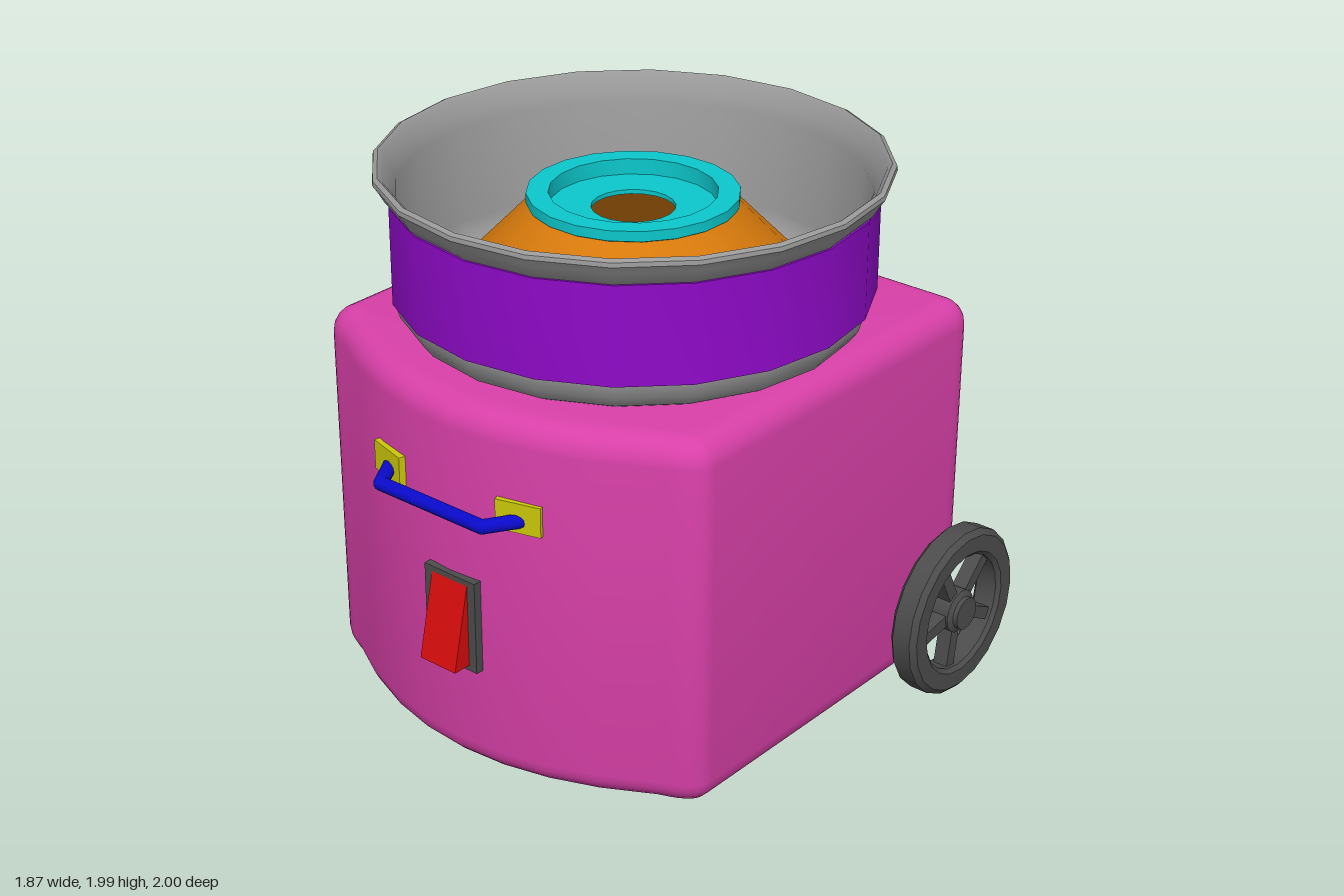
import * as THREE from 'three';
import { toCreasedNormals } from 'three/addons/utils/BufferGeometryUtils.js';

const CX = -0.015; // centre line of the body and bowl
const mat = (color, side = THREE.FrontSide) => new THREE.MeshStandardMaterial({ color, side });
const PINK = mat(0xd840a8), PURPLE = mat(0x8f0ac8), GREY = mat(0x999999), ORANGE = mat(0xd87a0c, THREE.DoubleSide);
const CYAN = mat(0x0cc8cc), DARK = mat(0x4c4c4c), BLUE = mat(0x0a0acc), YELLOW = mat(0xccc80a), RED = mat(0xd80c0c);

function add(parent, name, geometry, material, x = 0, y = 0, z = 0) {
  const mesh = new THREE.Mesh(geometry, material);
  mesh.name = name;
  mesh.position.set(x, y, z);
  parent.add(mesh);
  return mesh;
}

// Turned solid from [radius, height] pairs
function turned(pairs, segments = 20, phiStart = 0) {
  const points = pairs.map(([r, y]) => new THREE.Vector2(r, y));
  return toCreasedNormals(new THREE.LatheGeometry(points, segments, phiStart), 0.6);
}

// Body outline seen from above (shape y is world z), with a bowed front
function bodyGeometry() {
  const w = 0.815, back = -0.83, r = 0.11;
  const s = new THREE.Shape();
  s.moveTo(-w + r, back);
  s.lineTo(w - r, back);
  s.quadraticCurveTo(w, back, w, back + r);
  s.lineTo(w, 0.57);
  s.quadraticCurveTo(w, 0.645, 0.68, 0.69);
  s.quadraticCurveTo(0, 1.12, -0.68, 0.69);
  s.quadraticCurveTo(-w, 0.645, -w, 0.57);
  s.lineTo(-w, back + r);
  s.quadraticCurveTo(-w, back, -w + r, back);
  const bevel = 0.09, height = 1.325;
  const g = new THREE.ExtrudeGeometry(s, {
    depth: height - 2 * bevel, curveSegments: 8,
    bevelThickness: bevel, bevelSize: bevel, bevelOffset: -bevel, bevelSegments: 5,
  });
  g.rotateX(Math.PI / 2);
  g.translate(0, 1.44 - bevel, 0);
  return toCreasedNormals(g, 0.6);
}

// Spoked wheel, axis along x, hub cap towards +x
function makeWheel(name) {
  const wheel = new THREE.Group();
  wheel.name = name;
  const tyre = turned([[0.215, -0.04], [0.23, -0.053], [0.29, -0.053], [0.31, -0.035], [0.31, 0.035],
    [0.29, 0.053], [0.23, 0.053], [0.215, 0.04], [0.215, -0.04]]);
  add(wheel, 'tyre', tyre.rotateZ(-Math.PI / 2), DARK);
  const hub = turned([[0, -0.09], [0.08, -0.09], [0.08, 0.035], [0.06, 0.045], [0.06, 0.062], [0, 0.062]], 16);
  add(wheel, 'hub', hub.rotateZ(-Math.PI / 2), DARK);
  for (let i = 0; i < 5; i++) {
    const spoke = new THREE.BoxGeometry(0.055, 0.17, 0.045).translate(0, 0.145, 0);
    add(wheel, 'spoke', spoke, DARK).rotation.x = THREE.MathUtils.degToRad(45 + 72 * i - 90);
  }
  return wheel;
}

function makeBowl() {
  const bowl = new THREE.Group();
  bowl.name = 'bowl';
  bowl.position.x = CX;
  add(bowl, 'bowlShell', turned([[0.65, 1.43], [0.71, 1.43], [0.755, 1.455], [0.785, 1.495], [0.8, 1.545],
    [0.8, 1.885], [0.82, 1.905], [0.84, 1.94], [0.857, 1.965], [0.855, 1.98], [0.84, 1.988], [0.825, 1.975],
    [0.805, 1.93], [0.785, 1.89], [0.78, 1.55], [0.765, 1.5], [0.735, 1.465], [0.7, 1.455], [0.65, 1.455],
    [0.65, 1.43]]), GREY);
  add(bowl, 'band', turned([[0.798, 1.545], [0.808, 1.545], [0.808, 1.885], [0.798, 1.885]]), PURPLE);
  const half = Math.PI / 20;
  add(bowl, 'cone', turned([[0.705, 1.457], [0.335, 1.84]], 20, half), ORANGE);
  add(bowl, 'collar', turned([[0.14, 1.8], [0.335, 1.825], [0.353, 1.835], [0.353, 1.87], [0.28, 1.87],
    [0.28, 1.815], [0.14, 1.815], [0.14, 1.8]], 20, half), CYAN);
  return bowl;
}

function makeHandle() {
  const handle = new THREE.Group();
  handle.name = 'handle';
  handle.position.set(-0.025, 1.1, 0);
  for (const side of [-1, 1]) {
    const plate = add(handle, 'mountPlate', new THREE.BoxGeometry(0.16, 0.105, 0.03), YELLOW, side * 0.283, 0.013, 0.868);
    plate.rotation.y = side * 0.27;
  }
  const path = [[-0.29, 0.865], [-0.222, 0.977], [0.222, 0.977], [0.29, 0.865]].map(([x, z]) => new THREE.Vector3(x, 0, z));
  for (let i = 0; i < 3; i++) {
    const along = path[i + 1].clone().sub(path[i]);
    const bar = add(handle, 'bar', new THREE.CylinderGeometry(0.024, 0.024, along.length(), 12), BLUE);
    bar.position.copy(path[i]).addScaledVector(along, 0.5);
    bar.quaternion.setFromUnitVectors(new THREE.Vector3(0, 1, 0), along.normalize());
  }
  for (const p of [path[1], path[2]]) add(handle, 'bend', new THREE.SphereGeometry(0.024, 12, 8), BLUE, p.x, p.y, p.z);
  return handle;
}

function makeSwitch() {
  const group = new THREE.Group();
  group.name = 'switch';
  group.position.x = -0.005;
  add(group, 'switchFrame', new THREE.BoxGeometry(0.22, 0.335, 0.05), DARK, 0, 0.667, 0.9);
  // Wedge profile: shape x runs towards -z before the turn
  const wedge = new THREE.Shape([[-0.992, 0.52], [-0.91, 0.52], [-0.91, 0.815], [-0.925, 0.815]].map(([x, y]) => new THREE.Vector2(x, y)));
  const g = new THREE.ExtrudeGeometry(wedge, { depth: 0.155, bevelEnabled: false });
  g.translate(0, 0, -0.0775).rotateY(Math.PI / 2);
  add(group, 'rocker', g, RED);
  return group;
}

export function createModel() {
  const model = new THREE.Group();
  model.name = 'wheeledBowlMachine';
  add(model, 'body', bodyGeometry(), PINK, CX);
  model.add(makeBowl(), makeHandle(), makeSwitch());
  for (const side of [1, -1]) {
    const wheel = makeWheel(side > 0 ? 'leftWheel' : 'rightWheel');
    wheel.scale.x = side;
    wheel.position.set(side * 0.872 - 0.005, 0.31, -0.69);
    model.add(wheel);
  }
  return model;
}
